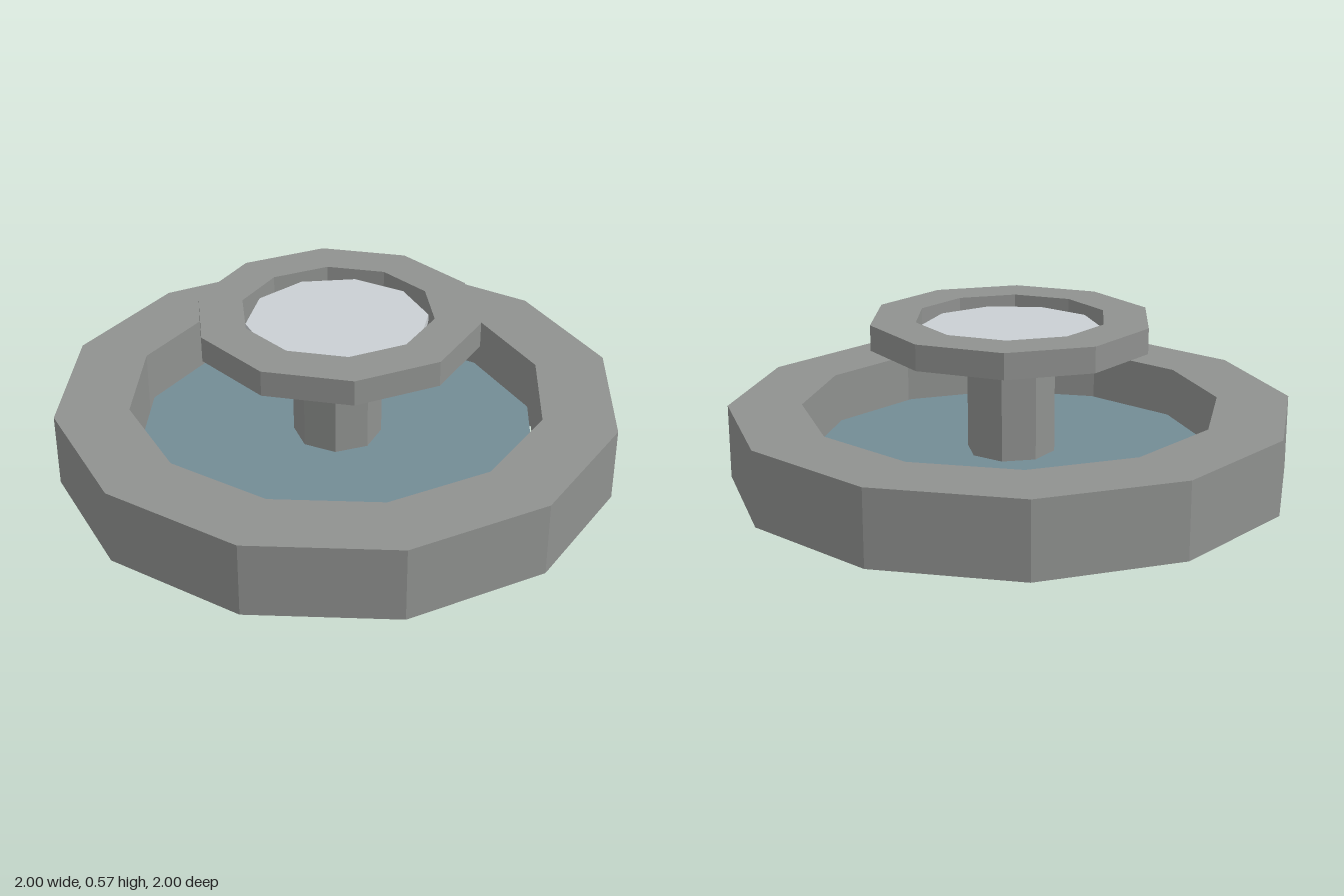
import * as THREE from 'three';

const mat = (color) => new THREE.MeshStandardMaterial({ color, flatShading: true });

export function createModel() {
  const group = new THREE.Group();
  const stone = mat(0x8f918f);
  const water = mat(0x738c95);
  const pale = mat(0xcacfd3);

  const add = (name, geometry, material) => {
    const mesh = new THREE.Mesh(geometry, material);
    mesh.name = name;
    group.add(mesh);
    return mesh;
  };

  // Faceted ring with a square section, first corner on the x axis
  const ring = (inner, outer, y0, y1, sides) => new THREE.LatheGeometry(
    [[outer, y0], [outer, y1], [inner, y1], [inner, y0], [outer, y0]]
      .map(([x, y]) => new THREE.Vector2(x, y)),
    sides, Math.PI / 2);

  // Upright prism between two heights, first corner on the z axis
  const prism = (radius, y0, y1, sides) =>
    new THREE.CylinderGeometry(radius, radius, y1 - y0, sides).translate(0, (y0 + y1) / 2, 0);

  // Lower basin and its pool
  add('basinRim', ring(0.74, 1, 0, 0.265, 12), stone);
  add('basinWater', prism(0.72, 0.053, 0.09, 12), water);

  // Central column
  add('column', prism(0.158, 0.07, 0.52, 8), stone);

  // Upper bowl and its water
  add('bowlRim', ring(0.34, 0.5, 0.485, 0.575, 10), stone);
  add('bowlWater', prism(0.32, 0.507, 0.537, 10), pale);

  return group;
}
